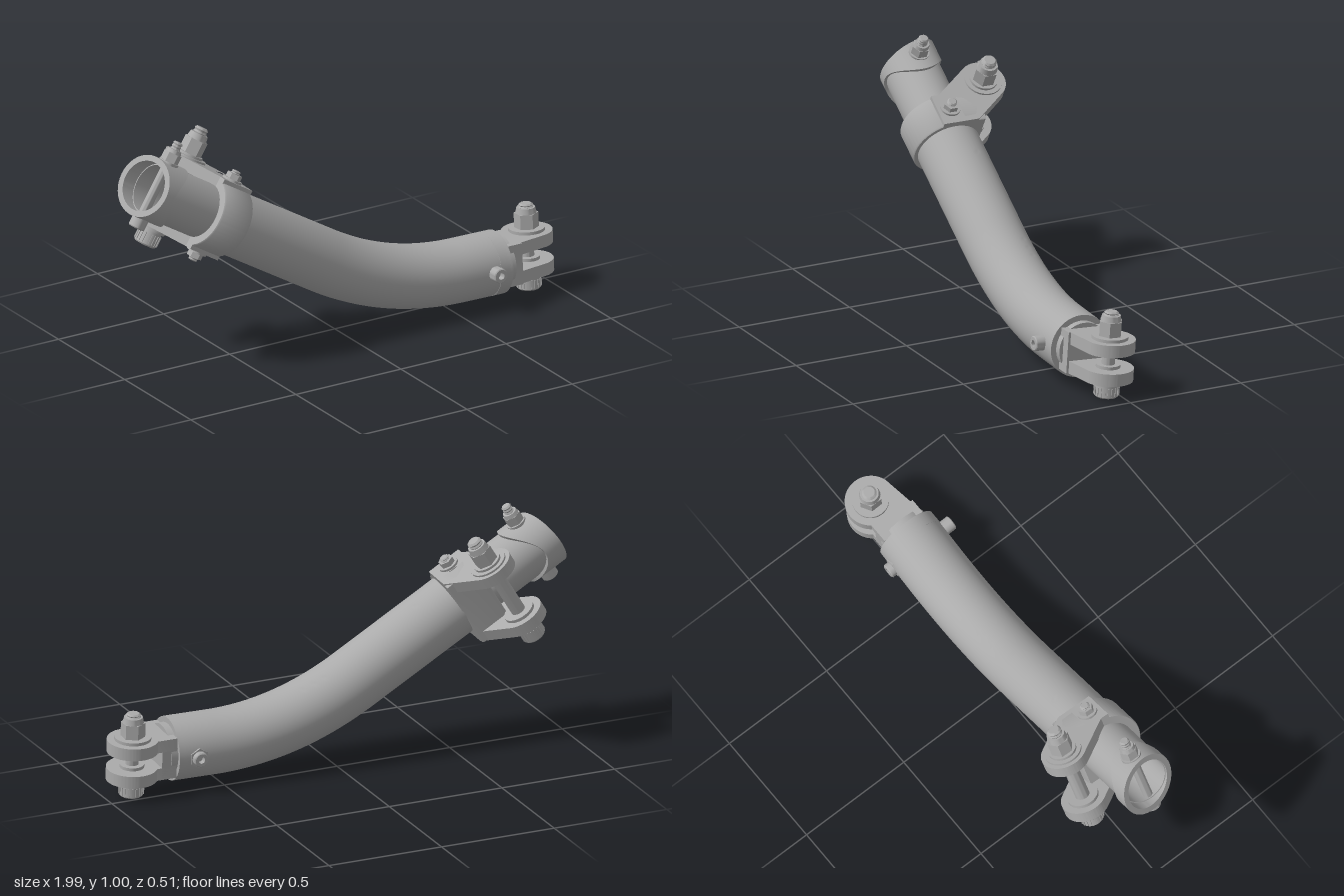
import * as THREE from 'three';
import { toCreasedNormals } from 'three/addons/utils/BufferGeometryUtils.js';

const steel = new THREE.MeshStandardMaterial({ color: 0xaaaaaa });
steel.name = 'steel grey';

function add(parent, name, geo) {
  const m = new THREE.Mesh(toCreasedNormals(geo, 0.6), steel);
  m.name = name;
  parent.add(m);
  return m;
}

function group(parent, name, x, y, z) {
  const g = new THREE.Group();
  g.name = name;
  g.position.set(x, y, z);
  parent.add(g);
  return g;
}

// Lathe from [radius, height] pairs, listed from bottom to top
const lathe = (pts, n = 32) => new THREE.LatheGeometry(pts.map(p => new THREE.Vector2(p[0], p[1])), n);

// Cylinder along y between two heights
const rod = (r, y0, y1, n = 32) => new THREE.CylinderGeometry(r, r, y1 - y0, n).translate(0, (y0 + y1) / 2, 0);

// Horizontal plate from an (x, z) outline, between two heights
const plate = (shape, y0, y1) =>
  new THREE.ExtrudeGeometry(shape, { depth: y1 - y0, bevelEnabled: false, curveSegments: 32 })
    .rotateX(Math.PI / 2).translate(0, y1, 0);

// Threaded end with ridges and a chamfered tip
function thread(r, y0, y1) {
  const pts = [[0, y0]];
  const n = Math.max(2, Math.round((y1 - y0) / 0.012));
  for (let i = 0; i < n; i++) {
    const h = y0 + (y1 - y0) * i / n, s = (y1 - y0) / n;
    pts.push([r * 0.85, h], [r, h + s * 0.5]);
  }
  pts.push([r * 0.75, y1], [0, y1]);
  return lathe(pts, 20);
}

// Socket head pointing down from y1 to y0, with a recess
const socketHead = (r, y0, y1) => lathe([
  [0, y0 + (y1 - y0) * 0.6], [r * 0.45, y0 + (y1 - y0) * 0.6], [r * 0.45, y0],
  [r * 0.88, y0], [r, y0 + r * 0.12], [r, y1], [0, y1]], 24);

// Hex nut with a rounded collar on top
function nut(parent, r, y0, y1) {
  const h = y1 - y0;
  add(parent, 'nut', rod(r, y0, y0 + h * 0.72, 6));
  add(parent, 'nutCollar', lathe([[0, y0 + h * 0.7], [r * 0.86, y0 + h * 0.72], [r * 0.76, y1], [0, y1]]));
}

// Knurled ribs round a bolt head
function knurl(parent, r, y0, y1) {
  for (let i = 0; i < 20; i++) {
    const a = i / 20 * Math.PI * 2;
    add(parent, 'headRib', new THREE.BoxGeometry(0.006, y1 - y0, 0.006)
      .translate(r, (y0 + y1) / 2, 0).rotateY(a));
  }
}

// Main tube, straight, bent and straight again
function buildTube(root) {
  const p = (x, y) => new THREE.Vector3(x, y, 0.083 + (x - 0.72) * 0.037);
  const path = new THREE.CurvePath();
  const a = p(-0.594, 0.64), b = p(-0.1, 0.346), c = p(0.2, 0.167), d = p(0.53, 0.167), e = p(0.715, 0.167);
  path.add(new THREE.LineCurve3(a, b));
  path.add(new THREE.QuadraticBezierCurve3(b, c, d));
  path.add(new THREE.LineCurve3(d, e));
  add(root, 'mainTube', new THREE.TubeGeometry(path, 80, 0.132, 48));
  const end = group(root, 'tubeEnd', 0, 0.167, 0.083);
  end.rotation.z = -Math.PI / 2;
  add(end, 'endFace', rod(0.1315, 0.66, 0.716, 48));
  add(end, 'endPlug', rod(0.108, 0.7, 0.745, 48));

  // Cross bolt near the lower end
  const bolt = group(root, 'crossBolt', 0.635, 0.167, 0.083);
  bolt.rotation.x = Math.PI / 2 - 0.07;
  add(bolt, 'head', socketHead(0.031, -0.17, -0.12).rotateX(Math.PI));
  add(bolt, 'crossNut', rod(0.042, -0.137, -0.12, 6));
  add(bolt, 'crossNutEnd', socketHead(0.031, -0.16, -0.12));
}

// Fork with its clamping bolt
function buildFork(root) {
  const fork = group(root, 'fork', 0.89, 0.165, 0.043);
  fork.rotation.x = -0.07;
  const s = new THREE.Shape();
  s.moveTo(-0.17, -0.063);
  s.lineTo(-0.085, -0.063);
  s.absarc(0, 0, 0.105, -2.5, 1.3, false);
  s.lineTo(-0.17, 0.132);
  const eye = new THREE.Path();
  eye.absarc(0, 0, 0.026, 0, Math.PI * 2, true);
  s.holes.push(eye);
  for (const [y0, y1] of [[0.035, 0.087], [-0.087, -0.035]]) add(fork, 'forkPlate', plate(s, y0, y1));
  add(fork, 'forkBase', new THREE.BoxGeometry(0.065, 0.174, 0.195).translate(-0.1375, 0, 0.0345));
  for (const k of [-1, 1]) {
    add(fork, 'washer', rod(0.075, 0.085, 0.1).translate(0, k < 0 ? -0.185 : 0, 0));
    add(fork, 'innerBoss', rod(0.05, 0.022, 0.04).translate(0, k < 0 ? -0.062 : 0, 0));
  }
  add(fork, 'shaft', rod(0.027, -0.1, 0.12));
  add(fork, 'boltHead', socketHead(0.05, -0.16, -0.095));
  knurl(fork, 0.05, -0.15, -0.115);
  nut(fork, 0.05, 0.1, 0.185);
  add(fork, 'boltThread', thread(0.03, 0.18, 0.201));
}

// Upper end: local x runs down the tube, y is square to it
function buildUpper(root) {
  const up = group(root, 'upperEnd', -0.594, 0.64, 0.034);
  up.rotation.set(0, -0.037, -0.54);

  add(up, 'innerTube', lathe([[0.1, 0], [0.115, 0], [0.115, 0.35], [0.1, 0.35], [0.1, 0]], 48).rotateZ(Math.PI / 2));

  // End sleeve, cut at a slant outside and like a saddle inside
  const sleeve = lathe([[0.112, 0], [0.128, 0], [0.128, 1], [0.104, 1], [0.104, 0], [0.112, 0]], 64);
  const pos = sleeve.attributes.position;
  for (let i = 0; i < pos.count; i++) {
    const v = pos.getX(i), w = pos.getZ(i);
    const f = (v * v) / (v * v + w * w);
    pos.setY(i, pos.getY(i) > 0.5 ? 0.384 - 0.25 * w : 0.325 - 0.085 * f - 0.1 * w);
  }
  add(up, 'endSleeve', sleeve.rotateZ(Math.PI / 2));

  // Bolt across the sleeve
  const sb = group(up, 'sleeveBolt', -0.325, 0, 0);
  add(sb, 'shaft', rod(0.02, -0.13, 0.15));
  add(sb, 'boss', rod(0.042, 0.105, 0.132));
  add(sb, 'head', socketHead(0.035, -0.168, -0.11));
  nut(sb, 0.038, 0.13, 0.185);
  add(sb, 'boltThread', thread(0.021, 0.18, 0.218));

  // Collar, round in front and square behind
  const c = new THREE.Shape();
  c.moveTo(0, 0.147);
  c.absarc(0, 0, 0.147, Math.PI / 2, Math.PI * 1.5, false);
  c.lineTo(0.13, -0.147);
  c.quadraticCurveTo(0.128, 0, 0.13, 0.147);
  const bore = new THREE.Path();
  bore.absarc(0, 0, 0.113, 0, Math.PI * 2, true);
  c.holes.push(bore);
  add(up, 'collar', new THREE.ExtrudeGeometry(c, {
    depth: 0.138, bevelEnabled: true, bevelSize: 0.004, bevelThickness: 0.006, bevelSegments: 1, curveSegments: 40,
  }).translate(0, 0, -0.069).rotateY(Math.PI / 2));

  // Lugs: a solid layer and an outer layer with a pocket
  const lug = pocket => {
    const s = new THREE.Shape();
    s.moveTo(0.075, 0.055);
    s.lineTo(0.075, -0.1);
    s.absarc(-0.11, -0.19, 0.095, -0.64, -3.77, true);
    s.lineTo(-0.075, 0.02);
    s.lineTo(-0.075, 0.055);
    if (pocket) s.holes.push(new THREE.Path([[0.052, -0.045], [0.05, -0.095], [0.015, -0.115], [-0.04, -0.075], [-0.05, -0.045]]
      .map(q => new THREE.Vector2(q[0], q[1]))));
    return s;
  };
  for (const k of [1, -1]) {
    const range = (a, b) => (k > 0 ? [a, b] : [-b, -a]);
    add(up, 'lug', plate(lug(false), ...range(0.108, 0.136)));
    add(up, 'lugRim', plate(lug(true), ...range(0.136, 0.157)));
    const eye = group(up, 'lugEye', -0.11, 0, -0.19);
    add(eye, 'washer', rod(0.077, ...range(0.155, 0.165)));
    add(eye, 'innerWasher', rod(0.065, ...range(0.095, 0.11)));
    add(eye, 'seat', rod(0.058, ...range(0.16, 0.175)));
    // Small clamp screws
    const screw = group(up, 'clampScrew', 0, 0, 0);
    if (k < 0) screw.rotation.x = Math.PI;
    add(screw, 'screwWasher', rod(0.042, 0.145, 0.166));
    add(screw, 'screwHead', rod(0.032, 0.165, 0.188, 6));
    add(screw, 'screwTip', thread(0.02, 0.186, 0.202));
  }

  // Long bolt between the lugs
  const lb = group(up, 'lugBolt', -0.11, 0, -0.19);
  add(lb, 'shaft', rod(0.03, -0.16, 0.18));
  add(lb, 'head', socketHead(0.048, -0.238, -0.165));
  knurl(lb, 0.048, -0.228, -0.185);
  nut(lb, 0.049, 0.172, 0.262);
  add(lb, 'boltThread', thread(0.03, 0.258, 0.288));
}

export function createModel() {
  const root = new THREE.Group();
  root.name = 'bentTubeArm';
  buildTube(root);
  buildFork(root);
  buildUpper(root);
  return root;
}
